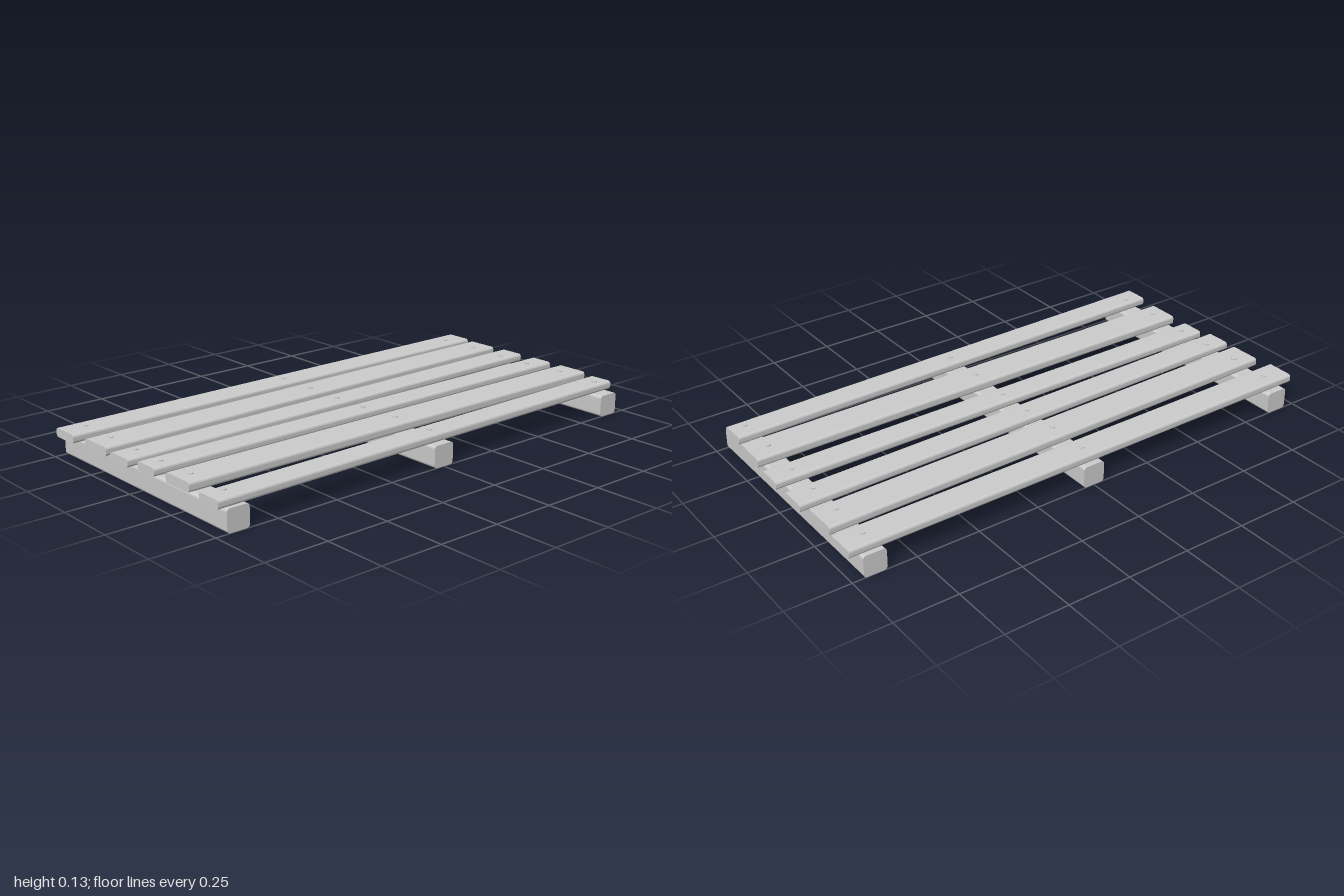
import * as THREE from 'three';

const material = new THREE.MeshStandardMaterial({ color: 0xcccccc, flatShading: true });

// Bar with a rounded rectangular section, resting on y = 0, running along z and centred
function barGeometry(width, height, length, r) {
  const w = width / 2;
  const s = new THREE.Shape();
  s.moveTo(-w + r, 0);
  s.lineTo(w - r, 0);
  s.absarc(w - r, r, r, -Math.PI / 2, 0);
  s.lineTo(w, height - r);
  s.absarc(w - r, height - r, r, 0, Math.PI / 2);
  s.lineTo(-w + r, height);
  s.absarc(-w + r, height - r, r, Math.PI / 2, Math.PI);
  s.lineTo(-w, r);
  s.absarc(-w + r, r, r, Math.PI, Math.PI * 1.5);
  const geometry = new THREE.ExtrudeGeometry(s, { depth: length, bevelEnabled: false, curveSegments: 3 });
  return geometry.translate(0, 0, -length / 2);
}

export function createModel() {
  const group = new THREE.Group();
  const add = (name, geometry, x, y, z, yaw = 0) => {
    const mesh = new THREE.Mesh(geometry, material);
    mesh.name = name;
    mesh.position.set(x, y, z);
    mesh.rotation.y = yaw;
    group.add(mesh);
  };

  const beamZ = [-0.91, 0, 0.91];
  const beamHeight = 0.085;

  // Three cross beams
  const beam = barGeometry(0.09, beamHeight, 1, 0.012);
  for (const z of beamZ) add('crossBeam', beam, 0, 0, z, Math.PI / 2);

  // Slightly crooked planks: centre x, width, thickness, back z, front z, sideways drift
  const planks = [
    [-0.424, 0.117, 0.034, -1.0, 1.0, 0.01],
    [-0.252, 0.134, 0.035, -0.985, 0.985, 0.034],
    [-0.091, 0.107, 0.032, -1.0, 0.99, 0.033],
    [0.061, 0.102, 0.032, -1.0, 0.97, 0.0],
    [0.242, 0.136, 0.037, -0.985, 0.965, -0.002],
    [0.424, 0.102, 0.034, -0.97, 0.983, 0.034],
  ];
  const nail = new THREE.CylinderGeometry(0.011, 0.011, 0.012, 6);
  for (const [x, width, thickness, back, front, drift] of planks) {
    const length = front - back;
    add('plank', barGeometry(width, thickness, length, 0.011),
      x, beamHeight, (back + front) / 2, Math.atan2(drift, length));
    // Nail heads over each beam
    for (const z of beamZ) add('nailHead', nail, x, beamHeight + thickness - 0.002, z);
  }
  return group;
}
